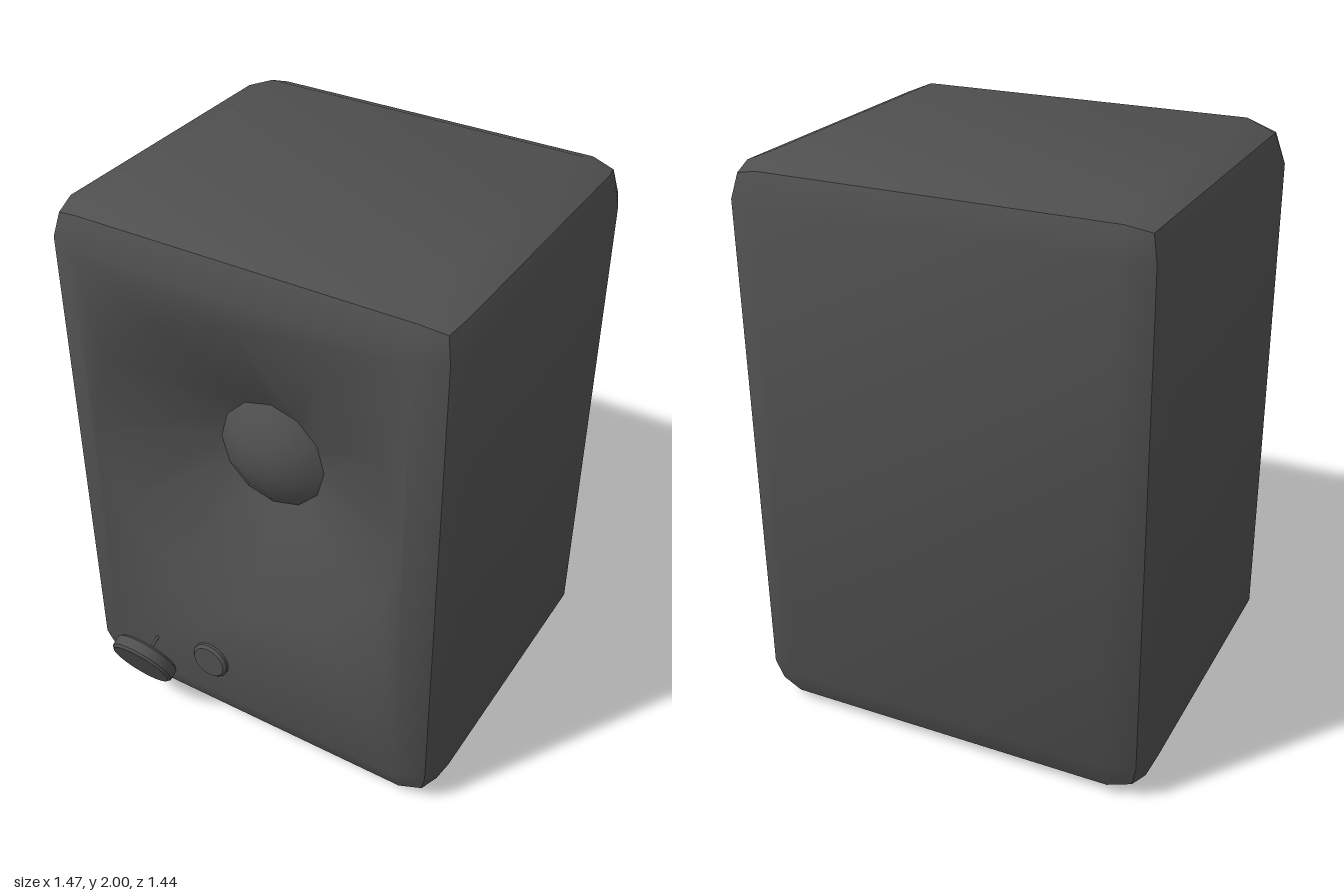
import * as THREE from 'three';
import { toCreasedNormals } from 'three/addons/utils/BufferGeometryUtils.js';
import { RoundedBoxGeometry } from 'three/addons/geometries/RoundedBoxGeometry.js';

const W = 1.47, H = 2, D = 1.28, R = 0.14;
const MID_Y = 1, MID_Z = -0.08, FRONT = 0.56;
const CONE_Y = 1.18, CONE_R = 0.59, SIDES = 12;

const charcoal = new THREE.MeshStandardMaterial({ color: 0x4f4f4f });
charcoal.name = 'charcoal';

const v2 = (list) => list.map(([x, y]) => new THREE.Vector2(x, y));

// Joins surfaces into one skin so normals flow across their shared borders
function joinSmooth(geometries, angle) {
  const out = [];
  for (const g of geometries) {
    const p = (g.index ? g.toNonIndexed() : g).attributes.position;
    for (const n of p.array) out.push(Math.round(n * 1e4) / 1e4);
  }
  const joined = new THREE.BufferGeometry();
  joined.setAttribute('position', new THREE.Float32BufferAttribute(out, 3));
  return toCreasedNormals(joined, angle);
}

// Rounded cabinet without its flat front panel
function cabinetShell() {
  const box = new RoundedBoxGeometry(W, H, D, 1, R);
  const p = (box.index ? box.toNonIndexed() : box).attributes.position;
  const keep = [];
  for (let i = 0; i < p.count; i += 3) {
    const flatFront = [0, 1, 2].every((k) => p.getZ(i + k) > D / 2 - 1e-4);
    if (flatFront) continue;
    for (let k = 0; k < 3; k++) keep.push(p.getX(i + k), p.getY(i + k), p.getZ(i + k));
  }
  const shell = new THREE.BufferGeometry();
  shell.setAttribute('position', new THREE.Float32BufferAttribute(keep, 3));
  return shell.translate(0, MID_Y, MID_Z);
}

// Flat front panel with a twelve-sided opening
function frontPanel() {
  const x = W / 2 - R;
  const panel = new THREE.Shape(v2([[-x, R], [x, R], [x, H - R], [-x, H - R]]));
  const rim = [];
  for (let i = 0; i < SIDES; i++) {
    const a = (i / SIDES) * Math.PI * 2;
    rim.push([Math.sin(a) * CONE_R, CONE_Y + Math.cos(a) * CONE_R]);
  }
  panel.holes.push(new THREE.Path(v2(rim)));
  return new THREE.ShapeGeometry(panel).translate(0, 0, FRONT);
}

// Sunken cone with a domed centre
function speakerCone() {
  const profile = v2([[CONE_R, 0], [0.2, -0.19], [0.14, -0.15], [0.07, -0.122], [0, -0.115]]);
  return new THREE.LatheGeometry(profile, SIDES).rotateX(Math.PI / 2).translate(0, CONE_Y, FRONT);
}

// Bevelled disc centred on its own axis, facing +z
function disc(radius, thickness, bevel, sides) {
  const h = thickness / 2;
  const profile = v2([[0, -h], [radius - bevel, -h], [radius, -h + bevel],
    [radius, h - bevel], [radius - bevel, h], [0, h]]);
  return toCreasedNormals(new THREE.LatheGeometry(profile, sides).rotateX(Math.PI / 2), 0.55);
}

export function createModel() {
  const model = new THREE.Group();
  model.name = 'loudspeaker';
  const add = (name, geometry, parent = model) => {
    const mesh = new THREE.Mesh(geometry, charcoal);
    mesh.name = name;
    parent.add(mesh);
    return mesh;
  };

  add('cabinet', joinSmooth([cabinetShell(), frontPanel(), speakerCone()], 0.56));

  // Small button beside the dial
  add('button', disc(0.073, 0.04, 0.01, 16)).position.set(-0.163, 0.305, FRONT);

  // Dial tilted downwards on a thin stem
  const dial = new THREE.Group();
  dial.name = 'dial';
  dial.position.set(-0.407, 0.253, 0.645);
  dial.rotation.x = 0.41;
  add('dialCap', disc(0.124, 0.055, 0.009, 32), dial);
  add('dialStem', new THREE.CylinderGeometry(0.006, 0.006, 0.1, 8).rotateX(Math.PI / 2), dial)
    .position.z = -0.065;
  model.add(dial);

  return model;
}
